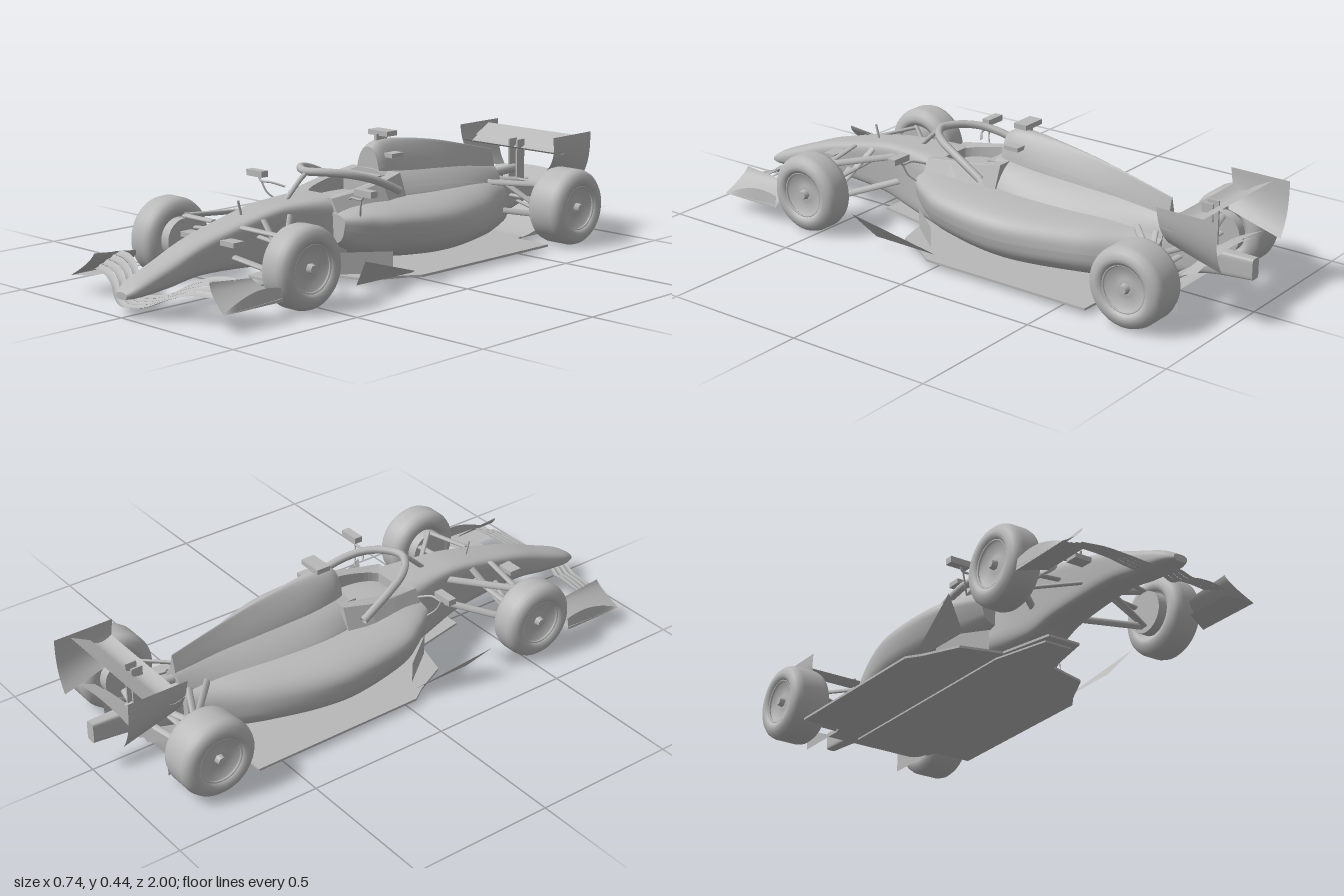
import * as THREE from 'three';

const paint = new THREE.MeshStandardMaterial({ color: 0xb8b8b8, side: THREE.DoubleSide });
const V = (x, y, z) => new THREE.Vector3(x, y, z);
const lerp = THREE.MathUtils.lerp;

// Smooth curve through a list of rows, evaluated at t in 0..1
function rowAt(rows, t) {
  const f = t * (rows.length - 1), i = Math.min(Math.floor(f), rows.length - 2), w = f - i;
  const at = k => rows[Math.max(0, Math.min(rows.length - 1, k))];
  return rows[0].map((_, c) => {
    const [a, b, d, e] = [at(i - 1)[c], at(i)[c], at(i + 1)[c], at(i + 2)[c]];
    const m = (d - a) / 2, n = (e - b) / 2, w2 = w * w, w3 = w2 * w;
    return (2 * w3 - 3 * w2 + 1) * b + (w3 - 2 * w2 + w) * m + (3 * w2 - 2 * w3) * d + (w3 - w2) * n;
  });
}

// Body from front to back; row = [z, half width, bottom, top, top scale, bottom scale, squareness]
function loft(rows, steps = 40, n = 48) {
  const pos = [], idx = [];
  const ring = t => {
    const [z, hw, yb, yt, ts, bs, e] = rowAt(rows, t);
    for (let j = 0; j <= n; j++) {
      const a = j / n * Math.PI * 2, c = Math.cos(a), s = Math.sin(a);
      const f = (Math.sign(s) * Math.abs(s) ** (2 / e) + 1) / 2;
      pos.push(hw * lerp(bs, ts, f) * Math.sign(c) * Math.abs(c) ** (2 / e), lerp(yb, yt, f), z);
    }
  };
  for (let i = 0; i <= steps; i++) ring(i / steps);
  for (let i = 0; i < steps; i++) for (let j = 0; j < n; j++) {
    const a = i * (n + 1) + j, b = a + n + 1;
    idx.push(a, b, a + 1, a + 1, b, b + 1);
  }
  for (const t of [0, 1]) {
    const o = pos.length / 3, r = rowAt(rows, t);
    ring(t);
    pos.push(0, (r[2] + r[3]) / 2, r[0]);
    for (let j = 0; j < n; j++) t ? idx.push(o + n + 1, o + j + 1, o + j) : idx.push(o + n + 1, o + j, o + j + 1);
  }
  const g = new THREE.BufferGeometry();
  g.setAttribute('position', new THREE.Float32BufferAttribute(pos, 3));
  g.setIndex(idx);
  g.computeVertexNormals();
  return g;
}

// Thin curved panel: fn(u, v) returns [x, y, z]
function sheet(fn, nu = 12, nv = 8) {
  const g = new THREE.PlaneGeometry(1, 1, nu, nv), p = g.attributes.position;
  for (let i = 0; i < p.count; i++) p.setXYZ(i, ...fn(p.getX(i) + 0.5, 0.5 - p.getY(i)));
  g.computeVertexNormals();
  return g;
}

// Flat slab from a mirrored [x, z] half outline
function slab(half, top, depth, hole) {
  const pts = [...half, ...half.map(([x, z]) => [-x, z]).reverse()].map(p => new THREE.Vector2(...p));
  const s = new THREE.Shape(pts);
  if (hole) s.holes.push(hole);
  return new THREE.ExtrudeGeometry(s, { depth, bevelEnabled: false, curveSegments: 8 }).rotateX(Math.PI / 2).translate(0, top, 0);
}

// Straight bar between two points; chord widens it along z
function rod(a, b, r = 0.006, chord = 1) {
  const g = new THREE.CylinderGeometry(r, r, a.distanceTo(b), 10).scale(1, 1, chord);
  const q = new THREE.Quaternion().setFromUnitVectors(V(0, 1, 0), b.clone().sub(a).normalize());
  return g.applyQuaternion(q).translate((a.x + b.x) / 2, (a.y + b.y) / 2, (a.z + b.z) / 2);
}
const tube = (pts, r, n = 32) => new THREE.TubeGeometry(new THREE.CatmullRomCurve3(pts), n, r, 8);
const box = (w, h, d, x, y, z) => new THREE.BoxGeometry(w, h, d).translate(x, y, z);

export function createModel() {
  const car = new THREE.Group();
  const add = (name, g, parent = car) => {
    const m = new THREE.Mesh(g, paint);
    m.name = name;
    parent.add(m);
    return m;
  };

  // Bodywork
  add('noseAndTub', loft([
    [0.998, 0.025, 0.06, 0.083, 1, 1, 2.5], [0.95, 0.047, 0.06, 0.112, 1, 1, 2.6],
    [0.84, 0.058, 0.07, 0.155, 1, 0.9, 3], [0.7, 0.065, 0.09, 0.205, 1, 0.85, 4],
    [0.46, 0.076, 0.08, 0.258, 1, 0.85, 6], [0.33, 0.088, 0.05, 0.27, 1, 0.9, 6],
    [0.17, 0.135, 0.03, 0.272, 0.85, 1, 5]]));
  add('sidepods', loft([
    [0.215, 0.175, 0.12, 0.228, 1, 0.85, 4], [0.14, 0.24, 0.08, 0.242, 1, 0.8, 3.6],
    [0.03, 0.295, 0.05, 0.247, 1, 0.8, 3], [-0.2, 0.308, 0.03, 0.242, 0.96, 0.88, 2.8],
    [-0.45, 0.22, 0.03, 0.23, 0.92, 1, 2.6], [-0.6, 0.135, 0.03, 0.215, 0.92, 1, 2.6],
    [-0.69, 0.085, 0.04, 0.2, 0.92, 1, 2.6]], 50, 56));
  add('engineCover', loft([
    [-0.05, 0.125, 0.2, 0.325, 0.65, 1.2, 3], [-0.2, 0.145, 0.19, 0.325, 0.4, 1.25, 2.6],
    [-0.4, 0.13, 0.17, 0.305, 0.3, 1.25, 2.5], [-0.58, 0.095, 0.14, 0.275, 0.35, 1.2, 2.5],
    [-0.69, 0.075, 0.09, 0.255, 0.45, 1.1, 2.5]]));
  add('airbox', loft([
    [-0.06, 0.05, 0.25, 0.395, 0.72, 1.3, 2.6], [-0.1, 0.053, 0.25, 0.413, 0.72, 1.4, 2.5],
    [-0.2, 0.052, 0.25, 0.41, 0.5, 1.6, 2.4], [-0.38, 0.04, 0.23, 0.383, 0.3, 1.7, 2.3],
    [-0.55, 0.024, 0.2, 0.345, 0.25, 1.9, 2.3], [-0.69, 0.012, 0.18, 0.31, 0.3, 2.5, 2.3]]));

  // Cockpit surround, tapering upward and rising to the rear
  const hole = new THREE.Path();
  hole.moveTo(-0.05, 0.17).lineTo(0.05, 0.17).quadraticCurveTo(0.08, 0.14, 0.085, 0.05).lineTo(0.08, -0.05);
  hole.lineTo(-0.08, -0.05).lineTo(-0.085, 0.05).quadraticCurveTo(-0.08, 0.14, -0.05, 0.17);
  const rim = slab([[0, 0.21], [0.1, 0.21], [0.118, 0.1], [0.125, 0], [0.11, -0.1], [0, -0.1]], 0.27, 0.07, hole);
  const rp = rim.attributes.position;
  for (let i = 0; i < rp.count; i++) {
    if (rp.getY(i) > 0.25) rp.setY(i, 0.27 + Math.max(0, 0.17 - rp.getZ(i)) * 0.17);
    else if (Math.abs(rp.getX(i)) > 0.09) rp.setX(i, rp.getX(i) * 1.4);
  }
  rim.computeVertexNormals();
  add('cockpitSurround', rim);
  add('headrest', box(0.16, 0.07, 0.04, 0, 0.275, -0.045));

  // Halo
  const arc = [[0.153, 0.268, -0.05], [0.145, 0.298, 0.01], [0.132, 0.322, 0.07], [0.105, 0.341, 0.14], [0.06, 0.349, 0.195]];
  add('haloHoop', tube([...arc.map(p => V(...p)), V(0, 0.349, 0.225), ...arc.map(([x, y, z]) => V(-x, y, z)).reverse()], 0.0135, 60));
  add('haloPillar', tube([V(0, 0.348, 0.222), V(0, 0.325, 0.255), V(0, 0.265, 0.32)], 0.008));

  // Roof and nose equipment
  add('roofCameraMast', box(0.012, 0.03, 0.05, 0, 0.42, -0.12));
  add('roofCamera', box(0.088, 0.017, 0.05, 0, 0.436, -0.13));
  add('sideCamera', box(0.04, 0.014, 0.055, 0.06, 0.368, -0.12));
  add('noseProbe', rod(V(0, 0.24, 0.51), V(0, 0.295, 0.525), 0.004));

  // Floor and diffuser
  add('floor', slab([[0, 0.43], [0.06, 0.43], [0.1, 0.24], [0.24, 0.2], [0.3, 0.08], [0.335, 0.03],
    [0.34, -0.6], [0.2, -0.605], [0.19, -0.64], [0, -0.64]], 0.028, 0.008));
  add('plank', slab([[0, 0.4], [0.05, 0.4], [0.1, 0.2], [0.1, -0.64], [0, -0.64]], 0.02, 0.006));
  add('diffuser', sheet((u, v) => [lerp(-0.19, 0.19, u), 0.024 + 0.075 * v * v, lerp(-0.62, -0.84, v)]));

  // Gearbox, crash structure and wing pylon
  add('gearbox', loft([[-0.66, 0.065, 0.06, 0.22, 0.8, 1, 4], [-0.76, 0.045, 0.08, 0.2, 0.9, 1, 4],
    [-0.86, 0.026, 0.1, 0.185, 1, 1, 5], [-0.997, 0.019, 0.112, 0.182, 1, 1, 6]], 16));
  for (const x of [-0.018, 0.018]) add('wingPylon', box(0.007, 0.16, 0.04, x, 0.25, -0.83));
  add('exhaust', rod(V(0, 0.22, -0.68), V(0, 0.225, -0.82), 0.016));

  // Rear wing
  add('rearMainPlane', sheet((u, v) => [lerp(-0.215, 0.215, u), 0.31 - 0.018 * Math.sin(v * 3.1) + 0.012 * v, lerp(-0.78, -0.87, v)]));
  add('rearFlap', sheet((u, v) => [lerp(-0.215, 0.215, u), 0.318 + 0.037 * v, lerp(-0.855, -0.925, v)]));
  for (const k of [0, 1]) add('beamWing', sheet((u, v) =>
    [lerp(-0.18, 0.18, u), 0.165 + 0.03 * k + 0.025 * v - 0.02 * Math.abs(2 * u - 1) ** 2, lerp(-0.84, -0.9, v) - 0.03 * k]));

  // Front wing: stacked elements swept back and up from the centre
  const wing = [[0.995, 0.9, 0.036, 0.022], [0.968, 0.865, 0.042, 0.026], [0.928, 0.82, 0.072, 0.038],
    [0.902, 0.79, 0.09, 0.042], [0.885, 0.78, 0.092, 0.043]];
  for (let k = 0; k < 4; k++) add('frontWingElement', sheet((u, v) => {
    const s = 2 * u - 1, [le, te, y, h] = rowAt(wing, Math.abs(s)), t = (k + v * 0.95) / 4;
    return [s * 0.275, y + h * t - 0.004 * Math.sin(v * Math.PI), lerp(le, te, t)];
  }, 48, 4));

  // Wheels: tyre and recessed rim in one turned profile, hub nut outside, drum inside
  const wheel = (name, w, x, z, s) => {
    const g = new THREE.Group();
    g.name = name;
    const side = [[0, 0.024], [0.03, 0.022], [0.035, 0.028], [0.072, 0.022], [0.078, 0.008], [0.084, 0.006],
      [0.088, 0.001], [0.1, 0], [0.117, 0.006], [0.128, 0.018], [0.133, 0.034]];
    const profile = [...side.map(([r, d]) => new THREE.Vector2(r, d - w)), ...side.map(([r, d]) => new THREE.Vector2(r, w - d)).reverse()];
    add('tyreAndRim', new THREE.LatheGeometry(profile, 56).rotateZ(-Math.PI / 2), g);
    add('rimRing', new THREE.TorusGeometry(0.076, 0.004, 6, 48).rotateY(Math.PI / 2).translate(s * (w - 0.012), 0, 0), g);
    add('hubNut', new THREE.CylinderGeometry(0.014, 0.018, 0.02, 6).rotateZ(-s * Math.PI / 2).translate(s * (w - 0.014), 0, 0), g);
    add('brakeDrum', new THREE.CylinderGeometry(0.07, 0.07, 0.035, 32).rotateZ(Math.PI / 2).translate(-s * w, 0, 0), g);
    g.position.set(s * x, 0.137, z);
    car.add(g);
  };

  for (const s of [1, -1]) {
    const S = (x, y, z) => V(s * x, y, z);
    wheel('frontWheel', 0.058, 0.31, 0.546, s);
    wheel('rearWheel', 0.073, 0.294, -0.75, s);

    // Front suspension
    for (const [a, b] of [[[0.24, 0.215, 0.54], [0.065, 0.235, 0.36]], [[0.24, 0.215, 0.54], [0.065, 0.225, 0.57]],
      [[0.24, 0.09, 0.54], [0.07, 0.145, 0.36]], [[0.24, 0.09, 0.54], [0.06, 0.135, 0.6]],
      [[0.24, 0.1, 0.53], [0.07, 0.235, 0.48]], [[0.24, 0.17, 0.5], [0.07, 0.185, 0.5]],
      // Rear suspension
      [[0.22, 0.2, -0.75], [0.06, 0.21, -0.6]], [[0.22, 0.2, -0.75], [0.04, 0.19, -0.8]],
      [[0.22, 0.09, -0.75], [0.08, 0.12, -0.58]], [[0.22, 0.09, -0.75], [0.04, 0.11, -0.8]],
      [[0.22, 0.14, -0.75], [0.04, 0.14, -0.75]], [[0.22, 0.1, -0.74], [0.06, 0.21, -0.67]]])
      add('suspensionArm', rod(S(...a), S(...b), 0.006, 2));

    add('noseCamera', box(0.08, 0.016, 0.045, s * 0.085, 0.19, 0.635));
    add('mirror', box(0.075, 0.021, 0.03, s * 0.253, 0.309, 0.21));
    add('mirrorStalk', tube([S(0.245, 0.3, 0.21), S(0.235, 0.286, 0.21), S(0.19, 0.285, 0.205), S(0.15, 0.272, 0.18)], 0.004));
    add('mirrorStrut', tube([S(0.235, 0.288, 0.21), S(0.22, 0.25, 0.2), S(0.2, 0.225, 0.18)], 0.003));

    // Front wing end plate, curling outward to the foot, with an upright outer fin
    add('frontEndPlate', sheet((u, v) => [s * (0.272 + 0.09 * v ** 1.5),
      lerp(0.14 - 0.015 * u, 0.06 + 0.01 * u, v), lerp(0.885 + 0.025 * v, 0.72 - 0.045 * v, u)]));
    add('frontFootPlate', sheet((u, v) => [s * lerp(0.272, 0.362, v), 0.07 - 0.01 * v, lerp(0.89 + 0.02 * v, 0.72 - 0.045 * v, u)]));
    add('frontOuterFin', sheet((u, v) => [s * lerp(0.362, 0.355, v), 0.06 + 0.05 * v * Math.sin(u * 2.2), lerp(0.91, 0.675, u)]));

    // Rear wing end plate, curving inward at the bottom
    add('rearEndPlate', sheet((u, v) => [s * (0.218 - 0.043 * v ** 3), lerp(0.364, lerp(0.24, 0.185, u), v),
      lerp(lerp(-0.77, -0.79, v), -0.982, u)]));

    // Floor vanes and diffuser fence
    add('floorVane', sheet((u, v) => [s * lerp(lerp(0.365, 0.3, u), lerp(0.285, 0.29, u), v),
      lerp(lerp(0.125, 0.035, u), 0.028, v), lerp(0.325 - 0.04 * v, 0.03, u)]));
    add('innerVane', sheet((u, v) => [s * lerp(0.14, 0.25, u), lerp(0.1, 0.028, v), lerp(0.22, 0.08, u)]));
    add('diffuserFence', sheet((u, v) => [s * 0.19, lerp(0.024 + 0.075 * u * u, 0.022, v), lerp(-0.62, -0.84, u)]));
  }
  return car;
}
